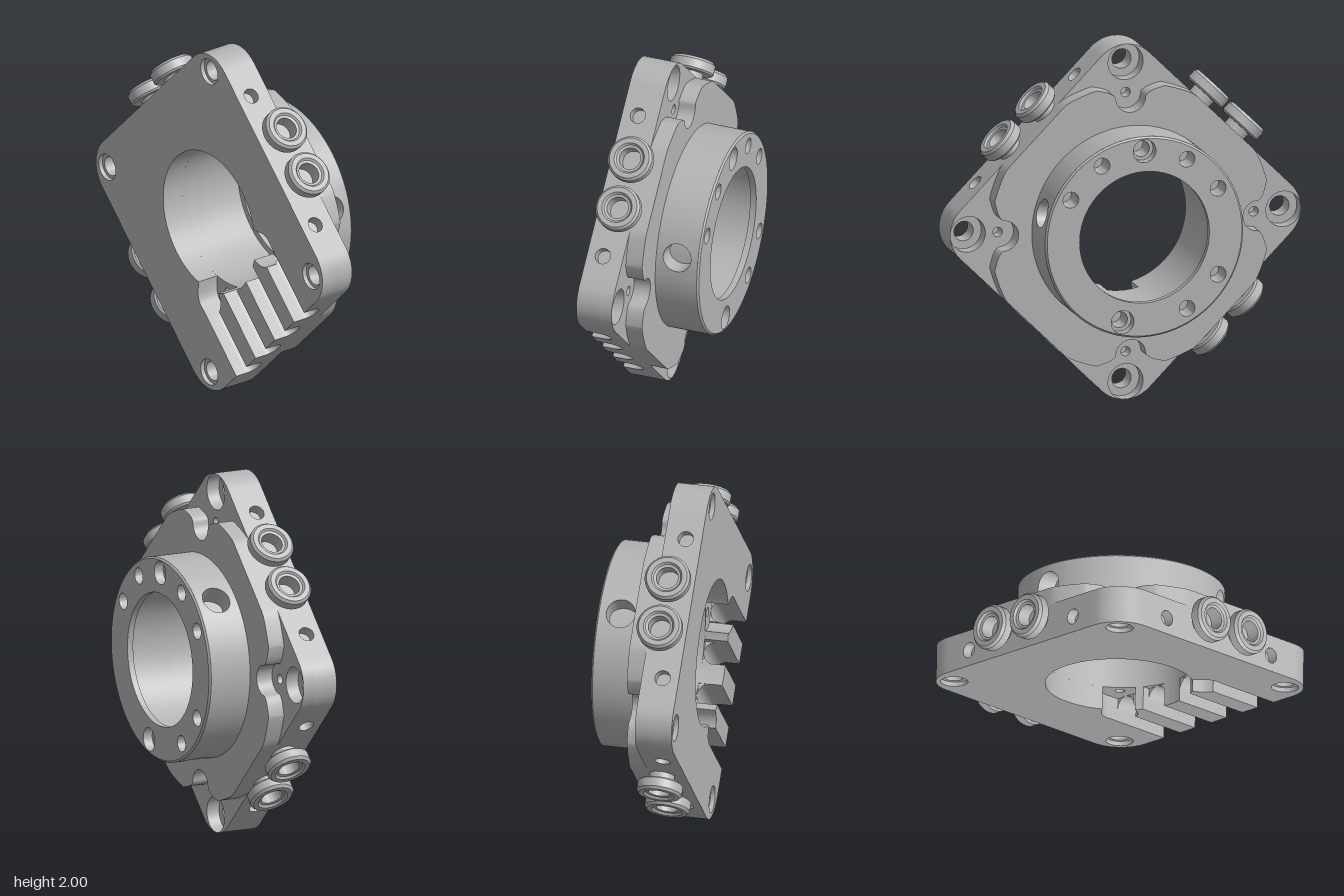
import * as THREE from 'three';
import { toCreasedNormals } from 'three/addons/utils/BufferGeometryUtils.js';
import { ParametricGeometry } from 'three/addons/geometries/ParametricGeometry.js';

const { PI, cos, sin, sqrt, abs, max, min } = Math;
const deg = PI / 180;

// Plate half side, corner radius, corner centre, edge rail half length and depth
const H = 0.763, CR = 0.19, C = H - CR, E = 0.52, D = 0.06;
// Bore radius, groove half width, z levels
const BORE = 0.405, G = 0.062, FRONT = 0.275, FLOOR = 0.145, BACK = 0.07, DISC = -0.025, REAR = -0.275;
const HUB = 0.565, HOLE_RING = 0.485, CORNER = 0.9;

const polar = (r, a) => [r * cos(a), r * sin(a)];
const turn = ([x, y], a) => [x * cos(a) - y * sin(a), x * sin(a) + y * cos(a)];
const arc = (cx, cy, r, a0, a1, n) => Array.from({ length: n + 1 }, (_, i) => {
  const [x, y] = polar(r, a0 + (a1 - a0) * i / n);
  return [cx + x, cy + y];
});
const vecs = pts => pts.map(([x, y]) => new THREE.Vector2(x, y));

function shapeOf(pts, holes = []) {
  const s = new THREE.Shape(vecs(pts));
  for (const [x, y, r] of holes) s.holes.push(new THREE.Path(vecs(arc(x, y, r, 0, 2 * PI, r > 0.2 ? 96 : 28).slice(0, -1))));
  return s;
}
const crease = g => toCreasedNormals(g, 0.5);
const extrude = (shape, depth) => crease(new THREE.ExtrudeGeometry(shape, { depth, bevelEnabled: false }));
const slab = (shape, z0, z1) => extrude(shape, z1 - z0).translate(0, 0, z0);
// Revolved [radius, z] profile about the z axis
const lathe = (pts, n = 28) => crease(new THREE.LatheGeometry(vecs(pts), n).rotateX(PI / 2));

// Plate outline; three sides are inset to receive the drilled edge rails
function outline(gap) {
  const pts = [[gap, -H]];
  for (let k = 0; k < 4; k++) {
    const side = arc(C, -C, CR, -PI / 2, 0, 12);
    if (k < 3) side.push([H, -E], [H - D, -E], [H - D, E], [H, E]);
    pts.push(...side.map(p => turn(p, k * PI / 2)));
  }
  if (gap) pts.push([-gap, -H]);
  return pts;
}

// Bore edge in polar form, bulging into the two screw lobes
function boreRadius(a) {
  let r = BORE;
  for (const c of [-45, 225]) {
    const d = a - c * deg, q = 0.01 - (0.46 * sin(d)) ** 2;
    if (q > 0 && abs(d) < 1) r = max(r, 0.46 * cos(d) + sqrt(q));
  }
  return r;
}

// Rear disc outline with a rounded notch on each diagonal
function discOutline() {
  const pts = [];
  const half = [[0.775, -0.19], [0.762, -0.14], [0.75, -0.11], [0.735, -0.09]];
  const notch = [...half, ...arc(0.725, 0, 0.085, -PI / 2, -3 * PI / 2, 16), ...half.map(([x, y]) => [x, -y]).reverse()];
  for (let k = 0; k < 4; k++) {
    const m = PI / 4 + k * PI / 2;
    pts.push(...notch.map(p => turn(p, m)));
    for (let i = 0; i <= 30; i++) {
      const a = m + 0.25 + (PI / 2 - 0.5) * i / 30;
      pts.push(polar(min(0.8, H / max(abs(cos(a)), abs(sin(a)))), a));
    }
  }
  return pts;
}

export function createModel() {
  const metal = new THREE.MeshStandardMaterial({ color: 0xb4b4b4, side: THREE.DoubleSide });
  metal.name = 'grey metal';
  const model = new THREE.Group();
  model.name = 'bearingFlange';
  const body = new THREE.Group();
  body.name = 'flangeBody';
  body.position.y = 1;
  body.rotation.z = PI / 4; // square plate stands on a corner
  model.add(body);
  const add = (name, geo, parent = body) => {
    const m = new THREE.Mesh(geo, metal);
    m.name = name;
    parent.add(m);
    return m;
  };

  const diagonals = [45, 135, 225, 315].map(a => a * deg);
  const ringOf = (radius, r, angles = diagonals) => angles.map(a => [...polar(radius, a), r]);
  const lobes = [-45, 225].map(a => a * deg);

  // Rear layer of the square plate
  add('plateBack', slab(shapeOf(outline(0), [[0, 0, BORE], ...ringOf(CORNER, 0.1), ...ringOf(0.73, 0.027),
    ...ringOf(0.46, 0.026, lobes)]), BACK, FLOOR));

  // Front layer: main body open towards the grooved side
  const gx = 0.36 + G, a0 = Math.atan2(-0.35, gx);
  const inner = Array.from({ length: 161 }, (_, i) => {
    const a = PI - a0 + (2 * a0 - PI) * i / 160;
    return polar(boreRadius(a), a);
  });
  add('plateFront', slab(shapeOf([...outline(gx), ...inner], ringOf(CORNER, 0.075)), FLOOR, FRONT));

  // Lands left between the grooves
  const start = x => {
    const q = 0.01 - (abs(x) - 0.325) ** 2;
    return max(sqrt(BORE * BORE - x * x), q > 0 ? 0.325 + sqrt(q) : 0);
  };
  for (const x of [-0.24, 0, 0.24]) {
    const w = 0.12 - G;
    const pts = [[x - w, -H], [x + w, -H]];
    for (let i = 0; i <= 12; i++) {
      const px = x + w - 2 * w * i / 12;
      pts.push([px, -start(px)]);
    }
    add('grooveLand', slab(shapeOf(pts), FLOOR, FRONT));
  }

  // Rounded groove bottoms
  const cove = shapeOf([[-G, -0.002], [G, -0.002], ...arc(0, G, G, 0, -PI, 16)]);
  for (const x of [-0.36, -0.12, 0.12, 0.36]) {
    add('grooveBottom', extrude(cove, H - BORE).rotateX(PI / 2).translate(x, -BORE, FLOOR));
  }

  // Stepped corner screw holes
  for (const [x, y] of ringOf(CORNER, 0)) {
    add('cornerHoleWeb', lathe([[0.1, FLOOR], [0.055, FLOOR], [0.055, 0.25], [0.078, 0.25]]).translate(x, y, 0));
  }

  // Drilled rails and paired knobs on three sides
  const rail = shapeOf([[-E, BACK], [E, BACK], [E, FRONT], [-E, FRONT]], [[-0.4, 0.185, 0.043], [0.4, 0.185, 0.043]]);
  const knob = [[0.07, -0.01], [0.07, 0.042], [0.115, 0.042], [0.125, 0.052], [0.125, 0.1], [0.112, 0.115],
    [0.085, 0.115], [0.075, 0.103], [0.06, 0.1], [0.06, 0.02], [0, 0.02]];
  for (let k = 0; k < 3; k++) {
    const side = new THREE.Group();
    side.name = 'plateSide';
    side.rotation.z = k * PI / 2;
    body.add(side);
    add('edgeRail', extrude(rail, D).rotateX(PI / 2).rotateZ(PI / 2).translate(H - D, 0, 0), side);
    for (const y of [-0.14, 0.14]) {
      add('knob', crease(new THREE.LatheGeometry(vecs(knob), 36).rotateZ(-PI / 2)).translate(H, y, 0.14), side);
    }
  }

  // Notched disc behind the plate
  add('rearDisc', slab(shapeOf(discOutline(), [[0, 0, BORE]]), DISC, BACK));

  // Hub rear face with screw holes (angles measured on the turned plate)
  const small = [30, 60, 120, 150, 210, 240].map(a => (a - 45) * deg);
  const large = [90, 285].map(a => (a - 45) * deg);
  const face = shapeOf(arc(0, 0, HUB - 0.01, 0, 2 * PI, 96).slice(0, -1),
    [[0, 0, 0.37], ...ringOf(HOLE_RING, 0.045, small), ...ringOf(HOLE_RING, 0.065, large)]);
  add('hubFace', new THREE.ShapeGeometry(face).translate(0, 0, REAR));
  for (const [x, y] of ringOf(HOLE_RING, 0, small)) {
    add('hubHole', lathe([[0.045, REAR], [0.045, -0.14], [0, -0.14]]).translate(x, y, 0));
  }
  for (const [x, y] of ringOf(HOLE_RING, 0, large)) {
    add('hubCounterbore', lathe([[0.065, REAR], [0.065, -0.22], [0.045, -0.22], [0.045, -0.1], [0, -0.1]]).translate(x, y, 0));
  }
  add('hubChamfer', lathe([[HUB - 0.01, REAR], [HUB, REAR + 0.01]], 96));
  add('hubBore', lathe([[0.37, REAR], [0.37, -0.24], [BORE, -0.24], [BORE, DISC]], 96));

  // Hub wall: three plain sectors and three patches with a radial hole
  const zMid = -0.145, half = 0.12, span = half / HUB;
  const patch = (u, v, target) => {
    const a = u * 2 * PI, k = Math.round(v * 3);
    const s = [half / max(abs(cos(a)), abs(sin(a))), 0.08, 0.08, 0][k];
    const r = k < 2 ? HUB : HUB - 0.11;
    const t = s * cos(a) / HUB;
    target.set(r * cos(t), r * sin(t), zMid + s * sin(a));
  };
  for (const a of [-30, 90, 210]) {
    add('hubRadialHole', crease(new ParametricGeometry(patch, 40, 3))).rotation.z = a * deg;
    add('hubWall', new THREE.CylinderGeometry(HUB, HUB, 2 * half, 32, 1, true,
      a * deg + PI / 2 + span, 2 * PI / 3 - 2 * span).rotateX(PI / 2).translate(0, 0, zMid));
  }
  return model;
}
